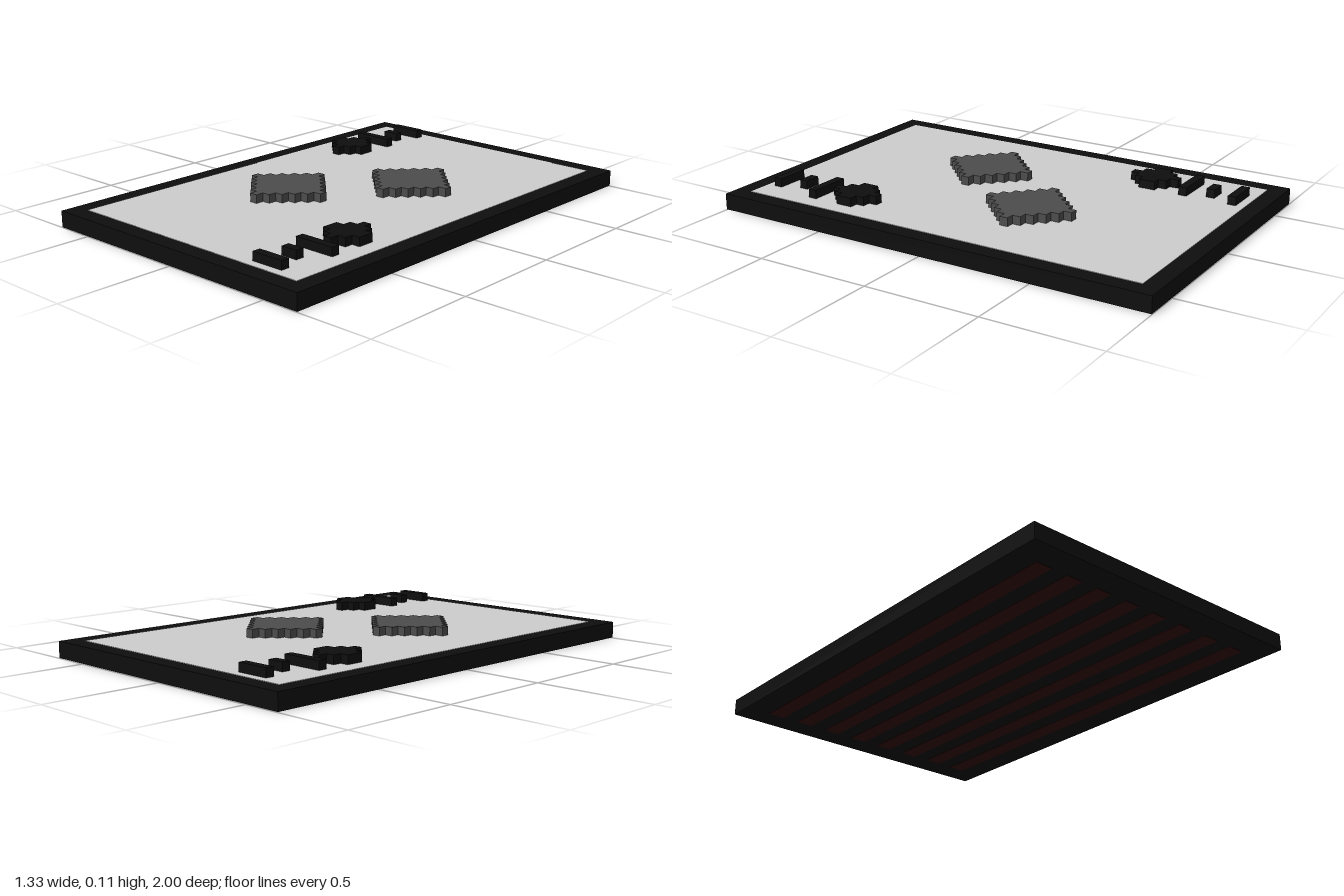
import * as THREE from 'three';
import { mergeGeometries } from 'three/addons/utils/BufferGeometryUtils.js';

const U = 1 / 27;            // one block; the card is 36 x 54 blocks
const COLS = 36, ROWS = 54;
const TOP = 2 * U;           // top of the card slab
const SKIN = 0.002;          // thickness of flat painted plates

const flat = (name, color) => {
  const m = new THREE.MeshStandardMaterial({ color });
  m.name = name;
  return m;
};

// Box covering whole blocks, from column c and row r, between two heights
function blockBox(c, r, w, d, y0, y1) {
  const g = new THREE.BoxGeometry(w * U, y1 - y0, d * U);
  g.translate((c + w / 2 - COLS / 2) * U, (y0 + y1) / 2, (r + d / 2 - ROWS / 2) * U);
  return g;
}

// Raised mark made of block strips [column, row, width]
function raised(name, strips, material) {
  const parts = strips.map(([c, r, w]) => blockBox(c, r, w, 1, TOP, TOP + U));
  const mesh = new THREE.Mesh(mergeGeometries(parts), material);
  mesh.name = name;
  return mesh;
}

// Stepped diamond strips from the half width of each row
const stepped = (col, row, halves) => halves.map((h, i) => [col - h, row + i, 2 * h + 1]);

export function createModel() {
  const group = new THREE.Group();
  group.name = 'playingCard';
  const black = flat('black', 0x0e0e0e);
  const paper = flat('paper', 0xcccccc);
  const grey = flat('grey', 0x4c4c4c);
  const darkRed = flat('darkRed', 0x300808);

  const add = (name, geometry, material) => {
    const mesh = new THREE.Mesh(geometry, material);
    mesh.name = name;
    group.add(mesh);
  };

  // Card slab and the pale face inside its border
  add('cardSlab', blockBox(0, 0, COLS, ROWS, SKIN, TOP - SKIN), black);
  add('cardFace', blockBox(2, 2, COLS - 4, ROWS - 4, TOP - SKIN, TOP), paper);

  // Lengthwise stripes on the underside
  const stripes = [];
  for (let c = 3; c < COLS - 3; c += 4) stripes.push(blockBox(c, 3, 2, ROWS - 6, 0, SKIN));
  add('backStripes', mergeGeometries(stripes), darkRed);

  // One half of the raised marks; the other half is turned half way round
  const half = (name) => {
    const g = new THREE.Group();
    g.name = name;
    g.add(raised('cornerBars', [[5, 3, 4], [6, 6, 2], [4, 9, 5]], black));
    g.add(raised('cornerPip', stepped(6, 11, [0, 1, 2, 2, 1, 0]), black));
    g.add(raised('centreDiamond', stepped(22, 16, [0, 1, 2, 3, 4, 5, 4, 3, 2, 1, 0]), grey));
    return g;
  };
  const back = half('backMarks');
  const front = half('frontMarks');
  front.rotation.y = Math.PI;
  group.add(back, front);
  return group;
}
